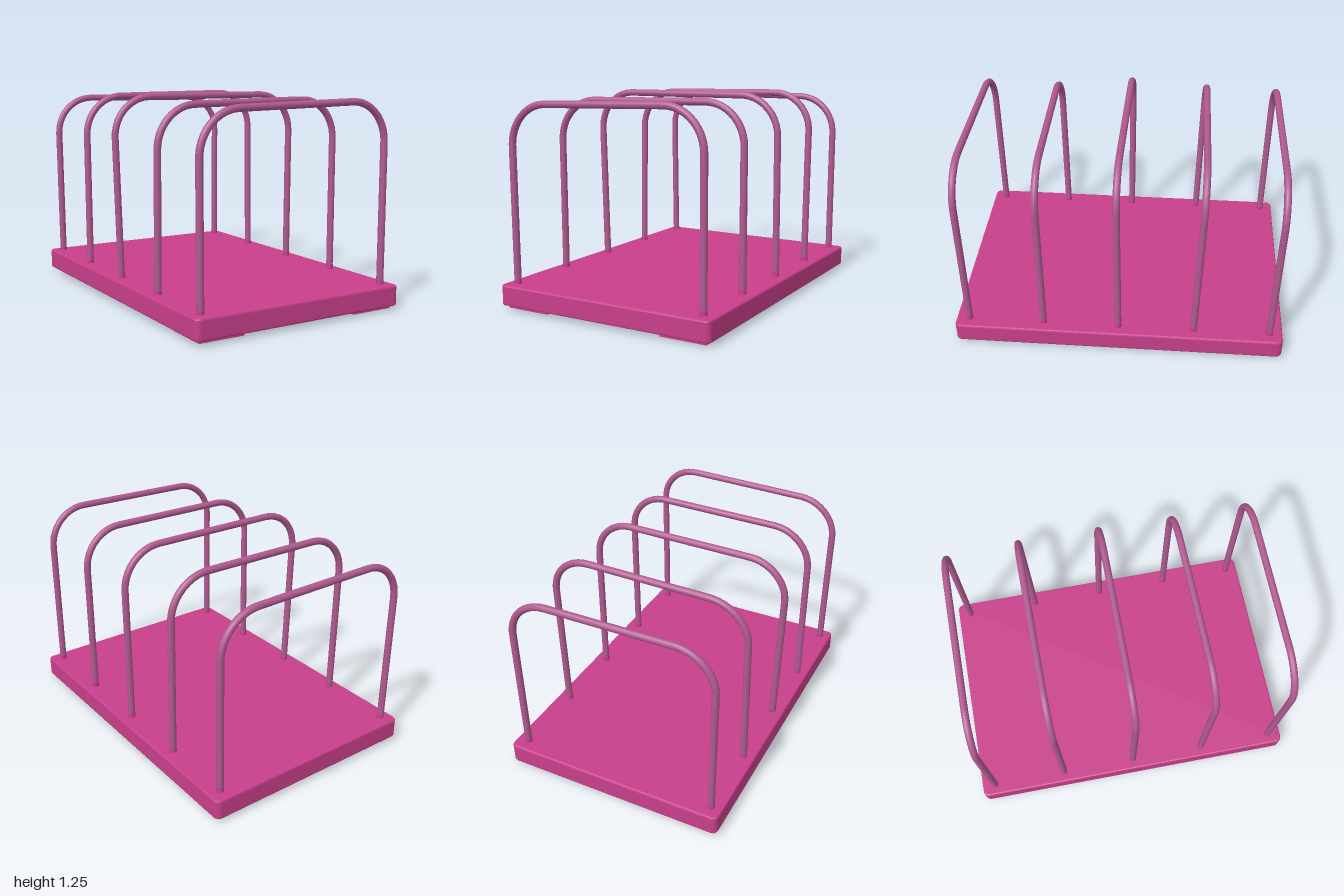
import * as THREE from 'three';

export function createModel() {
  const model = new THREE.Group();
  model.name = 'rack';
  const basePink = new THREE.MeshStandardMaterial({ color: 0xc83f8b });
  basePink.name = 'base pink';
  const hoopMauve = new THREE.MeshStandardMaterial({ color: 0xb05a91 });
  hoopMauve.name = 'hoop mauve';

  const add = (parent, name, geometry, material) => {
    const mesh = new THREE.Mesh(geometry, material);
    mesh.name = name;
    parent.add(mesh);
    return mesh;
  };

  // Base slab with rounded corners and a fine bevel, leaning slightly to one side
  const base = new THREE.Group();
  base.name = 'base';
  base.position.y = 0.085;
  base.rotation.z = -0.006;
  model.add(base);

  const bevel = 0.01, w = 0.69 - bevel, d = 1 - bevel, r = 0.025;
  const outline = new THREE.Shape();
  outline.absarc(w - r, d - r, r, 0, Math.PI / 2);
  outline.absarc(-w + r, d - r, r, Math.PI / 2, Math.PI);
  outline.absarc(-w + r, -d + r, r, Math.PI, Math.PI * 1.5);
  outline.absarc(w - r, -d + r, r, Math.PI * 1.5, Math.PI * 2);
  outline.closePath();
  const slab = new THREE.ExtrudeGeometry(outline, {
    depth: 0.102, bevelEnabled: true, bevelThickness: bevel, bevelSize: bevel, bevelSegments: 2, curveSegments: 6,
  });
  slab.rotateX(-Math.PI / 2).translate(0, -0.051, 0);
  add(base, 'slab', slab, basePink);

  // L-shaped corner feet
  for (const sx of [-1, 1]) for (const sz of [-1, 1]) {
    add(base, 'footAcross', new THREE.BoxGeometry(0.28, 0.03, 0.03), basePink)
      .position.set(sx * 0.515, -0.065, sz * 0.95);
    add(base, 'footAlong', new THREE.BoxGeometry(0.03, 0.03, 0.25), basePink)
      .position.set(sx * 0.64, -0.065, sz * 0.815);
  }

  // Hoops: foot z, shoulder z left and right, shoulder x left and right, top y left and right
  const hoops = [
    { z: 0.92, zl: 0.925, zr: 0.92, xl: -0.63, xr: 0.615, yl: 1.195, yr: 1.22 },
    { z: 0.46, zl: 0.47, zr: 0.46, xl: -0.62, xr: 0.615, yl: 1.2, yr: 1.215 },
    { z: 0, zl: -0.005, zr: 0.008, xl: -0.655, xr: 0.615, yl: 1.232, yr: 1.232 },
    { z: -0.46, zl: -0.48, zr: -0.485, xl: -0.62, xr: 0.62, yl: 1.22, yr: 1.232 },
    { z: -0.92, zl: -0.92, zr: -0.925, xl: -0.635, xr: 0.62, yl: 1.2, yr: 1.187 },
  ];
  const V = (x, y, z) => new THREE.Vector3(x, y, z);
  const bend = 0.24, k = 0.55;

  // Quarter bend between two points around a corner
  const corner = (a, c, b) => new THREE.CubicBezierCurve3(a, a.clone().lerp(c, k), b.clone().lerp(c, k), b);

  for (const h of hoops) {
    const hoop = new THREE.Group();
    hoop.name = 'hoop';
    model.add(hoop);
    const footL = V(-0.62, 0.1, h.z), footR = V(0.613, 0.1, h.z);
    const topL = V(h.xl, h.yl, h.zl), topR = V(h.xr, h.yr, h.zr);
    const toward = (from, to) => from.clone().add(to.clone().sub(from).setLength(bend));
    const a = toward(topL, footL), b = toward(topL, topR);
    const c = toward(topR, topL), e = toward(topR, footR);
    const path = new THREE.CurvePath();
    path.add(new THREE.LineCurve3(footL, a));
    path.add(corner(a, topL, b));
    path.add(new THREE.LineCurve3(b, c));
    path.add(corner(c, topR, e));
    path.add(new THREE.LineCurve3(e, footR));
    add(hoop, 'hoopTube', new THREE.TubeGeometry(path, 90, 0.021, 14), hoopMauve);

    // Short sockets where the hoop meets the base
    for (const foot of [footL, footR])
      add(hoop, 'socket', new THREE.CylinderGeometry(0.022, 0.023, 0.07, 14), basePink)
        .position.set(foot.x, 0.135, foot.z);
  }
  return model;
}
